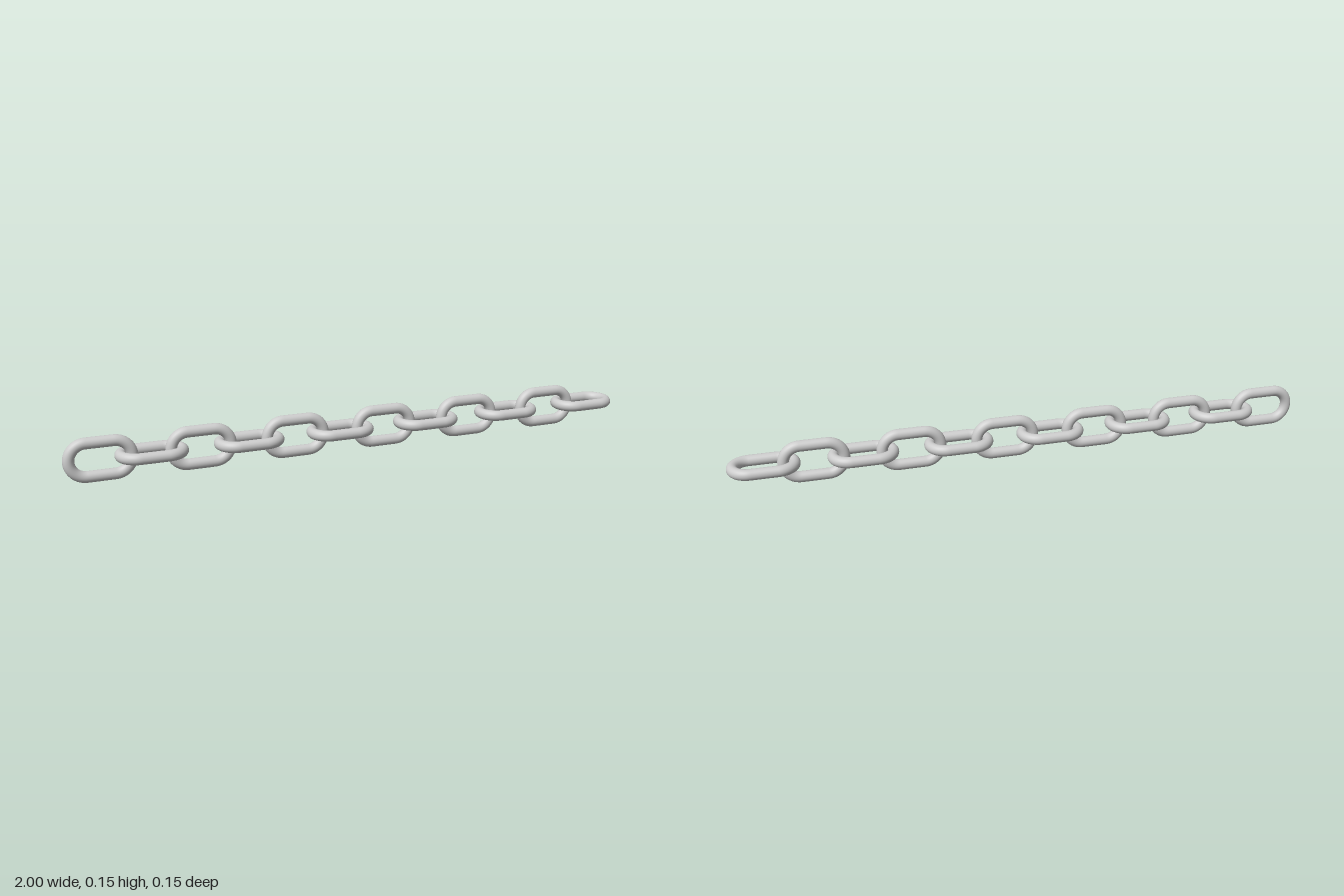
import * as THREE from 'three';

const LINKS = 12;
const WIRE = 0.0185;               // wire radius
const BEND = 0.0545;               // centreline radius of the rounded ends
const HALF = 0.0443;               // half length of the straight sides
const PITCH = (2 - 2 * (HALF + BEND + WIRE)) / (LINKS - 1);

// Stadium-shaped centreline: two straight sides joined by two half circles
class LinkCurve extends THREE.Curve {
  getPoint(t, target = new THREE.Vector3()) {
    const side = 2 * HALF, arc = Math.PI * BEND, half = side + arc;
    let s = (((t % 1) + 1) % 1) * 2 * half;
    const flip = s >= half ? -1 : 1;
    if (flip < 0) s -= half;
    if (s < side) return target.set(flip * (HALF - s), flip * BEND, 0);
    const a = Math.PI / 2 + (s - side) / BEND;
    return target.set(flip * (-HALF + BEND * Math.cos(a)), flip * BEND * Math.sin(a), 0);
  }
}

export function createModel() {
  const chain = new THREE.Group();
  chain.name = 'chain';
  const material = new THREE.MeshStandardMaterial({ color: 0xcccccc });
  const geometry = new THREE.TubeGeometry(new LinkCurve(), 96, WIRE, 24, true);

  // Links alternate between upright and flat, each hooked through the next
  for (let i = 0; i < LINKS; i++) {
    const flat = i % 2 === 1;
    const link = new THREE.Mesh(geometry, material);
    link.name = (flat ? 'flatLink' : 'uprightLink') + (i + 1);
    link.position.set((i - (LINKS - 1) / 2) * PITCH, BEND + WIRE, 0);
    if (flat) link.rotation.x = Math.PI / 2;
    chain.add(link);
  }
  return chain;
}
